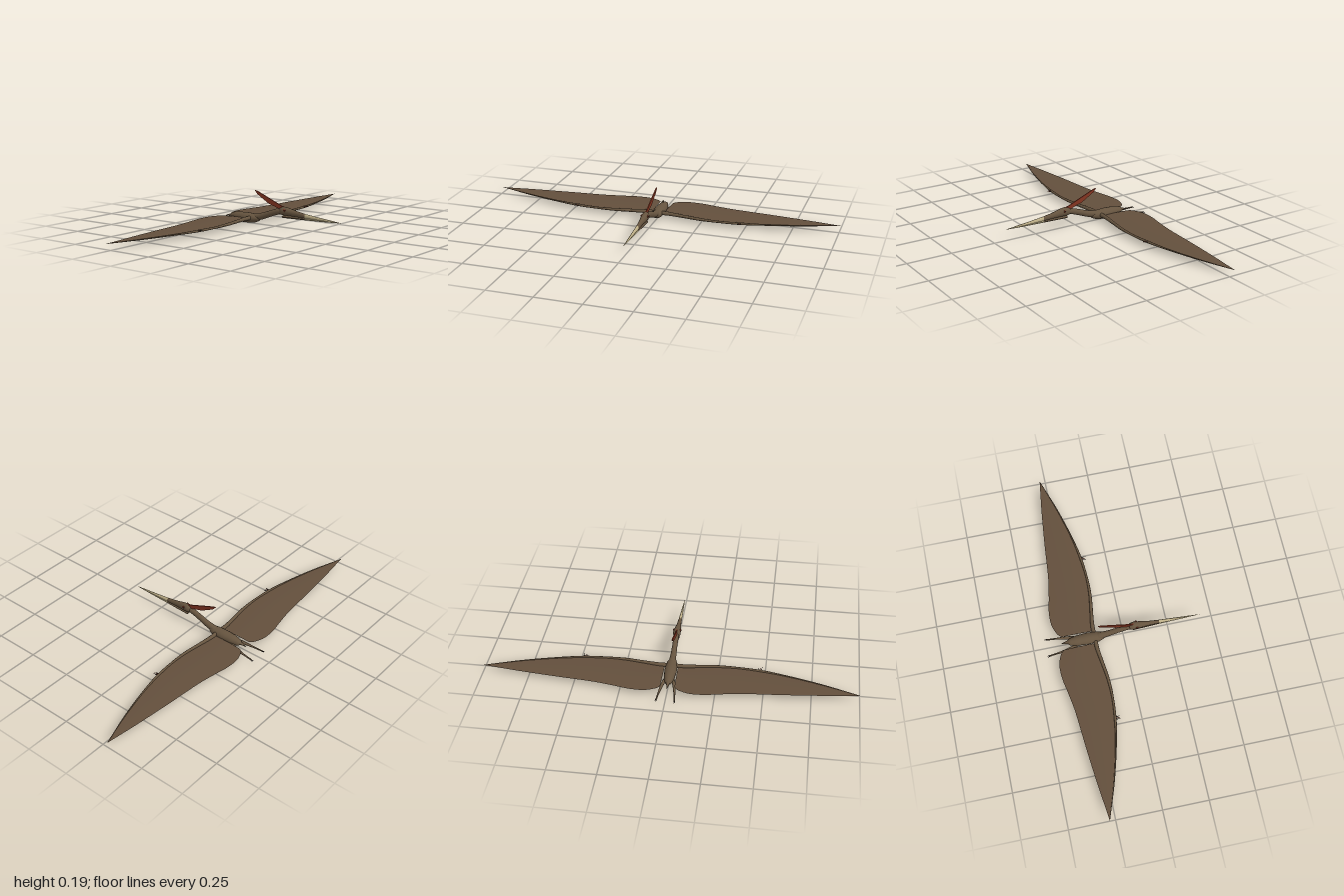
import * as THREE from 'three';

const mat = (name, color, side = THREE.FrontSide) => {
  const m = new THREE.MeshStandardMaterial({ color, side });
  m.name = name;
  return m;
};

function surface(pos, index) {
  const g = new THREE.BufferGeometry();
  g.setAttribute('position', new THREE.Float32BufferAttribute(pos, 3));
  g.setIndex(index);
  g.computeVertexNormals();
  return g;
}

// Smooth tapered form through stations [x, y, z, halfWidth, halfHeight].
// Runs toward -z by default, or toward +x when alongX is set.
function loft(stations, { alongX = false, steps = 4, sides = 16 } = {}) {
  const centre = new THREE.CatmullRomCurve3(stations.map(s => new THREE.Vector3(s[0], s[1], s[2])));
  const n = (stations.length - 1) * steps;
  const pos = [], index = [];
  for (let i = 0; i <= n; i++) {
    const k = Math.min(Math.floor(i / steps), stations.length - 2), f = i / steps - k;
    const c = centre.getPoint(i / n);
    const rw = THREE.MathUtils.lerp(stations[k][3], stations[k + 1][3], f);
    const rh = THREE.MathUtils.lerp(stations[k][4], stations[k + 1][4], f);
    for (let j = 0; j < sides; j++) {
      const a = j / sides * Math.PI * 2, w = Math.cos(a) * rw, h = Math.sin(a) * rh;
      pos.push(c.x + (alongX ? 0 : w), c.y + h, c.z + (alongX ? w : 0));
      if (i < n) {
        const p = i * sides + j, p2 = i * sides + (j + 1) % sides;
        index.push(p, p + sides, p2, p2, p + sides, p2 + sides);
      }
    }
  }
  return surface(pos, index);
}

// Flip a geometry across x = 0 and restore its winding
function mirrored(geo) {
  const g = geo.clone();
  g.scale(-1, 1, 1);
  const ix = g.index.array;
  for (let i = 0; i < ix.length; i += 3) [ix[i + 1], ix[i + 2]] = [ix[i + 2], ix[i + 1]];
  g.computeVertexNormals();
  return g;
}

// Cone from a to b
function spike(a, b, r) {
  const from = new THREE.Vector3(...a), d = new THREE.Vector3(...b).sub(from);
  const g = new THREE.ConeGeometry(r, d.length(), 8);
  g.translate(0, d.length() / 2, 0);
  g.applyQuaternion(new THREE.Quaternion().setFromUnitVectors(new THREE.Vector3(0, 1, 0), d.clone().normalize()));
  return g.translate(from.x, from.y, from.z);
}

export function createModel() {
  const root = new THREE.Group();
  root.name = 'pterosaur';
  const hide = mat('brown hide', 0x66543f);
  const skin = mat('wing skin', 0x634f3c, THREE.DoubleSide);
  const horn = mat('pale horn', 0xbfb088);
  const red = mat('crest red', 0x843521);
  const dark = mat('dark claw', 0x2e2620);

  const add = (name, geo, material) => {
    const m = new THREE.Mesh(geo, material);
    m.name = name;
    root.add(m);
  };
  const pair = (name, geo, material) => {
    add('left' + name, geo, material);
    add('right' + name, mirrored(geo), material);
  };

  // Torso, neck and tail
  add('torso', loft([
    [0, .036, -.095, 0, 0], [0, .036, -.11, .018, .015], [0, .034, -.14, .029, .025],
    [0, .033, -.2, .033, .029], [0, .033, -.26, .028, .026], [0, .034, -.3, .018, .017],
    [0, .035, -.318, 0, 0]]), hide);
  add('neck', loft([
    [0, .092, .05, .014, .015], [0, .087, .02, .014, .017], [0, .07, -.033, .014, .018],
    [0, .05, -.09, .016, .019], [0, .042, -.14, .02, .018], [0, .04, -.17, 0, 0]]), hide);
  add('tail', loft([
    [0, .037, -.29, .014, .011], [0, .033, -.325, .006, .005], [0, .028, -.35, 0, 0]]), hide);

  // Skull and beak, divided where the horn begins
  add('skull', loft([
    [0, .08, .201, .009, .012], [0, .086, .14, .012, .0165], [0, .0925, .085, .019, .0225],
    [0, .094, .055, .021, .024], [0, .092, .037, .016, .018], [0, .092, .03, 0, 0]]), hide);
  add('upperBeak', loft([
    [0, .066, .435, 0, 0], [0, .0695, .36, .0035, .005], [0, .0735, .29, .006, .008],
    [0, .08, .2, .009, .012]]), horn);
  add('lowerJaw', loft([
    [0, .0635, .201, .0075, .0055], [0, .063, .13, .011, .006], [0, .063, .055, .014, .007],
    [0, .063, .053, 0, 0]]), hide);
  add('lowerBeak', loft([
    [0, .065, .425, 0, 0], [0, .064, .32, .004, .0035], [0, .0635, .2, .0075, .0055]]), horn);

  // Swept blade crest, outlined as [z, y]
  const outline = new THREE.Shape([
    [.07, .115], [.04, .122], [-.06, .163], [-.115, .185], [-.137, .191],
    [-.12, .171], [-.085, .15], [-.04, .124], [0, .113], [.035, .1]
  ].map(p => new THREE.Vector2(-p[0], p[1])));
  const crest = new THREE.ExtrudeGeometry(outline, { depth: .006, bevelEnabled: false });
  crest.translate(0, 0, -.003).rotateY(Math.PI / 2);
  add('crest', crest, red);

  // Eyes
  const eye = new THREE.SphereGeometry(.0075, 14, 10);
  eye.scale(.5, 1, 1).translate(.0185, .101, .075);
  pair('Eye', eye, red);
  const pupil = new THREE.SphereGeometry(.004, 12, 8);
  pupil.scale(.5, 1, 1).translate(.0215, .101, .075);
  pair('Pupil', pupil, dark);

  // Wing membrane between leading and trailing edges, outlined as [x, z]
  const curve = pts => new THREE.SplineCurve(pts.map(p => new THREE.Vector2(...p)));
  const lead = curve([[.035, -.15], [.1, -.145], [.2, -.131], [.3, -.124], [.4, -.129],
    [.5, -.141], [.65, -.172], [.8, -.212], [.92, -.252], [1, -.28]]);
  const trail = curve([[.038, -.335], [.06, -.357], [.12, -.378], [.2, -.377], [.28, -.362],
    [.4, -.343], [.6, -.326], [.8, -.306], [.92, -.291], [1, -.281]]);
  const pos = [], index = [], span = 54, chord = 8;
  for (let i = 0; i <= span; i++) {
    const a = lead.getPoint(i / span), b = trail.getPoint(i / span);
    for (let j = 0; j <= chord; j++) {
      const t = j / chord;
      pos.push(a.x + (b.x - a.x) * t, .033 + .004 * Math.sin(Math.PI * t) * (1 - a.x), a.y + (b.y - a.y) * t);
      if (i < span && j < chord) {
        const p = i * (chord + 1) + j, q = p + chord + 1;
        index.push(p, q, p + 1, p + 1, q, q + 1);
      }
    }
  }
  pair('WingMembrane', surface(pos, index), skin);

  // Arm and long wing finger along the leading edge
  pair('WingArm', loft([
    [.005, .036, -.157, .012, .012], [.06, .036, -.158, .011, .011], [.15, .035, -.147, .009, .009],
    [.25, .034, -.134, .008, .008], [.36, .033, -.132, .006, .006], [.475, .033, -.142, .007, .007],
    [.6, .033, -.164, .0045, .0045], [.8, .033, -.215, .003, .003], [1, .033, -.28, .0008, .0008]],
  { alongX: true, sides: 12 }), hide);

  // Small hand claws
  for (let i = -1; i <= 1; i++)
    pair('HandClaw' + (i + 2), spike([.473 + i * .006, .035, -.138], [.473 + i * .01, .036 + .003 * i, -.112], .0028), i ? dark : red);

  // Trailing legs and toes
  pair('Leg', loft([
    [.018, .023, -.25, .008, .008], [.028, .019, -.285, .0095, .009], [.037, .014, -.33, .007, .007],
    [.043, .011, -.375, .0045, .0045], [.047, .009, -.415, .004, .0035], [.048, .009, -.42, 0, 0]]), hide);
  for (let i = -1; i <= 1; i++)
    pair('Toe' + (i + 2), spike([.047 + i * .002, .009, -.412], [.05 + i * .005, .006, -.435], .0022), dark);

  return root;
}
